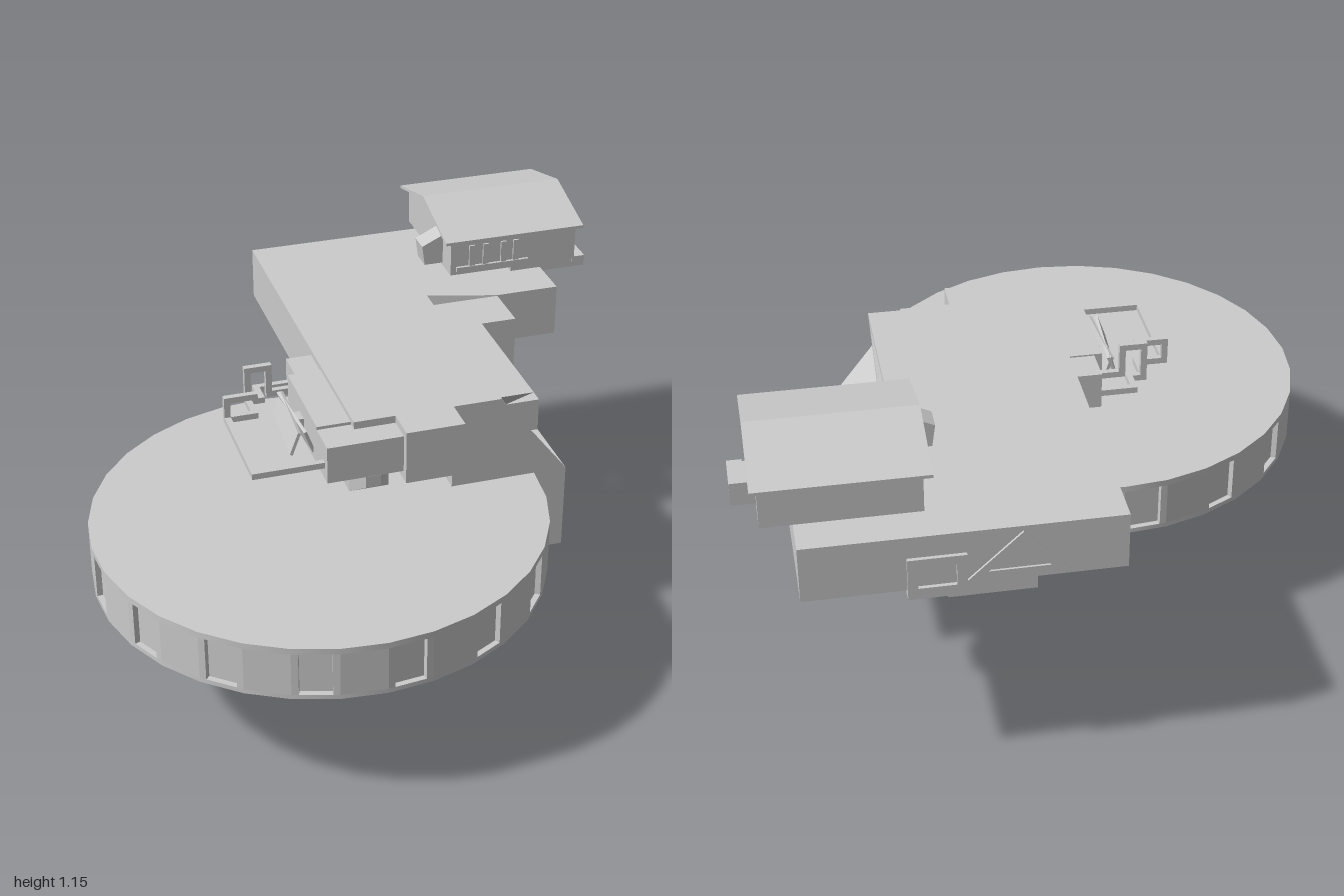
import * as THREE from 'three';
import { ConvexGeometry } from 'three/addons/geometries/ConvexGeometry.js';

export function createModel() {
  const model = new THREE.Group();
  const grey = new THREE.MeshStandardMaterial({ color: 0xcccccc, flatShading: true, side: THREE.DoubleSide });
  const smooth = new THREE.MeshStandardMaterial({ color: 0xcccccc });

  const add = (name, geometry, material = grey, parent = model) => {
    const mesh = new THREE.Mesh(geometry, material);
    mesh.name = name;
    parent.add(mesh);
    return mesh;
  };
  const box = (name, x0, x1, y0, y1, z0, z1) => {
    const mesh = add(name, new THREE.BoxGeometry(x1 - x0, y1 - y0, z1 - z0));
    mesh.position.set((x0 + x1) / 2, (y0 + y1) / 2, (z0 + z1) / 2);
    return mesh;
  };
  const extrude = (pts, depth, hole) => {
    const toV = (list) => list.map(([a, b]) => new THREE.Vector2(a, b));
    const shape = new THREE.Shape(toV(pts));
    if (hole) shape.holes.push(new THREE.Path(toV(hole)));
    return new THREE.ExtrudeGeometry(shape, { depth, bevelEnabled: false });
  };
  // Outline in (z, y), extruded from x0 to x1
  const sideProfile = (name, pts, x0, x1, hole) =>
    add(name, extrude(pts, x1 - x0, hole).rotateY(-Math.PI / 2).translate(x1, 0, 0));
  // Outline in (x, z), extruded from y0 to y1
  const plan = (name, pts, y0, y1) =>
    add(name, extrude(pts, y1 - y0).rotateX(Math.PI / 2).translate(0, y1, 0));
  // Outline in (x, y), extruded from z0 to z1
  const frontProfile = (name, pts, z0, z1, hole) =>
    add(name, extrude(pts, z1 - z0, hole).translate(0, 0, z0));
  const hull = (name, pts) => add(name, new ConvexGeometry(pts.map((p) => new THREE.Vector3(...p))));
  // Square bar following a list of points
  const rail = (name, pts, t = 0.02) => {
    const group = new THREE.Group();
    group.name = name;
    for (let i = 1; i < pts.length; i++) {
      const a = new THREE.Vector3(...pts[i - 1]), b = new THREE.Vector3(...pts[i]);
      const bar = add('railBar', new THREE.BoxGeometry(t, t, a.distanceTo(b) + t), grey, group);
      bar.position.copy(a).add(b).multiplyScalar(0.5);
      bar.lookAt(b);
    }
    model.add(group);
  };

  // Round disc: tapered underside, rim bands and a ring of recessed windows
  const cx = -0.25, cz = 0.275, R = 0.72;
  const cone = [[0, 0], [0.05, 0], [0.05, 0], [0.073, 0.035], [0.11, 0.085], [0.15, 0.132], [0.2, 0.18],
    [0.29, 0.24], [0.46, 0.312], [0.64, 0.388], [R, 0.425]];
  add('discUnderside', new THREE.LatheGeometry(cone.map(([r, y]) => new THREE.Vector2(r, y)), 32), smooth)
    .position.set(cx, 0, cz);
  for (const [y0, y1] of [[0.425, 0.44], [0.585, 0.605]]) {
    add('rimBand', new THREE.CylinderGeometry(R, R, y1 - y0, 32), smooth).position.set(cx, (y0 + y1) / 2, cz);
  }
  const rim = [];
  for (let k = 0; k < 16; k++) {
    const a = (k * Math.PI) / 8, b = a + Math.PI / 16;
    const on = (t, s) => [
      cx + R * s * (Math.sin(a) * (1 - t) + Math.sin(b) * t),
      cz + R * s * (Math.cos(a) * (1 - t) + Math.cos(b) * t)];
    rim.push(on(0, 1), on(0.15, 1), on(0.15, 0.975), on(0.85, 0.975), on(0.85, 1), on(1, 1));
  }
  plan('windowRim', rim, 0.44, 0.585);

  // Long upper deck with its side wing and front bay
  plan('mainDeck', [[-0.135, -0.988], [0.8, -0.988], [0.8, -0.4], [0.58, -0.4], [0.35, -0.468], [0.35, 0.27],
    [0.19, 0.27], [0.19, 0.38], [0, 0.38], [0, 0.27], [-0.135, 0.27]], 0.72, 0.9);
  box('deckSupport', 0.19, 0.35, 0.6, 0.72, -0.4, 0.27);
  sideProfile('neck', [[0.27, 0.72], [0.02, 0.6], [-0.4, 0.575], [-0.69, 0.605], [-0.69, 0.72]], 0, 0.35);
  hull('taperedFoot', [[-0.13, 0.72, 0.2], [0, 0.72, 0.2], [-0.13, 0.605, 0.2], [0, 0.605, 0.2],
    [-0.09, 0.68, 0.25], [-0.04, 0.68, 0.25], [-0.09, 0.64, 0.25], [-0.04, 0.64, 0.25],
    [-0.13, 0.72, 0], [0, 0.72, 0], [-0.13, 0.605, 0], [0, 0.605, 0]]);

  // Stepped tower beside the disc
  sideProfile('sideTower', [[-0.395, 0.31], [0.27, 0.31], [0.27, 0.605], [0.02, 0.605], [0.02, 0.72],
    [-0.22, 0.72], [-0.22, 0.9], [-0.395, 0.9]], 0.35, 0.58);
  hull('slopedCorner', [[0.35, 0.9, 0.27], [0.58, 0.605, 0.27], [0.35, 0.605, 0.27],
    [0.46, 0.605, 0.02], [0.35, 0.605, 0.02], [0.35, 0.72, 0.02]]);
  sideProfile('triangularFrame', [[0.26, 0.9], [0.02, 0.72], [-0.22, 0.9]], 0.35, 0.46,
    [[0.19, 0.88], [0.02, 0.75], [-0.15, 0.88]]);
  sideProfile('cornerFillet', [[-0.05, 0.72], [-0.2, 0.72], [-0.2, 0.86]], 0.35, 0.46);
  box('towerHandle', 0.58, 0.587, 0.525, 0.545, -0.39, -0.3);

  // Left bays and balcony railings
  box('leftBay', -0.245, -0.135, 0.75, 0.885, -0.1, 0.24);
  box('frontLeftBay', -0.245, 0, 0.75, 0.875, 0.24, 0.355);
  box('rearLeftBay', -0.22, -0.135, 0.76, 0.88, -0.215, -0.1);
  rail('balconyRail', [[-0.24, 0.8, 0.32], [-0.465, 0.8, 0.32], [-0.465, 0.8, -0.03], [-0.375, 0.8, -0.03],
    [-0.375, 0.8, -0.12], [-0.33, 0.8, -0.12], [-0.33, 0.8, -0.19], [-0.22, 0.8, -0.19]]);
  rail('lowUprightFrame', [[-0.465, 0.8, -0.03], [-0.465, 0.87, -0.03], [-0.375, 0.87, -0.03]]);
  rail('tallUprightFrame', [[-0.375, 0.8, -0.12], [-0.375, 0.915, -0.12], [-0.305, 0.915, -0.12],
    [-0.305, 0.82, -0.12], [-0.245, 0.82, -0.12]]);
  for (const s of [-1, 1]) {
    const panel = box('slantedPanel', -0.285, -0.275, 0.77, 0.85, -0.07, 0.2);
    panel.position.x += s * 0.015;
    panel.rotation.set(0, s * 0.06, s * 0.35);
  }
  box('panelBracket', -0.28, -0.24, 0.79, 0.83, 0.04, 0.09);

  // Rear face frames and the boxes under the deck
  frontProfile('rearTriangleFrame', [[0.03, 0.735], [0.33, 0.735], [0.17, 0.885]], -0.995, -0.985,
    [[0.09, 0.76], [0.27, 0.76], [0.17, 0.85]]);
  frontProfile('rearWindowFrame', [[0.33, 0.7], [0.5, 0.7], [0.5, 0.83], [0.33, 0.83]], -1, -0.985,
    [[0.36, 0.73], [0.47, 0.73], [0.47, 0.8], [0.36, 0.8]]);
  sideProfile('rearWedge', [[-0.75, 0.72], [-0.78, 0.69], [-0.995, 0.69], [-0.995, 0.72]], 0.33, 0.5);
  box('underBox', 0.12, 0.38, 0.645, 0.69, -0.945, -0.69);
  box('underBoxLow', 0.2, 0.3, 0.63, 0.72, -0.86, -0.69);

  // Stair climbing the wing's side
  for (let i = 0; i < 7; i++) {
    const y = 0.735 + i * 0.022, z = -0.45 - i * 0.022;
    box('stairStep', 0.795, 0.81, y, y + 0.01, z - 0.022, z);
  }

  // Small gabled house above the wing
  const wallGable = [[-0.485, 0.955], [-0.485, 1.085], [-0.715, 1.14], [-0.945, 1.085], [-0.945, 0.955]];
  sideProfile('houseWalls', wallGable, 0.44, 0.895);
  sideProfile('houseRoof', [[-0.465, 1.088], [-0.715, 1.155], [-0.967, 1.088], [-0.967, 1.078],
    [-0.715, 1.143], [-0.465, 1.078]], 0.415, 0.915);
  frontProfile('housePorch', [[0.375, 0.965], [0.45, 0.965], [0.45, 1.075], [0.365, 1.035]], -0.645, -0.57);
  box('houseSill', 0.46, 0.72, 0.968, 0.985, -0.485, -0.475);
  for (const x of [0.505, 0.555, 0.62, 0.665]) box('houseDoorPost', x, x + 0.02, 0.985, 1.06, -0.488, -0.478);

  // Chute from the house down to a landing
  box('chuteBox', 0.895, 0.965, 0.99, 1.062, -0.875, -0.83);
  sideProfile('chute', [[-0.875, 1.05], [-0.83, 1.05], [-0.83, 0.99], [-0.69, 0.9], [-0.64, 0.885],
    [-0.6, 0.885], [-0.555, 0.905], [-0.555, 0.925], [-0.68, 0.925], [-0.8, 1.0]].reverse(), 0.92, 0.965);
  box('chuteLanding', 0.69, 0.965, 0.885, 0.922, -0.69, -0.56);

  return model;
}
